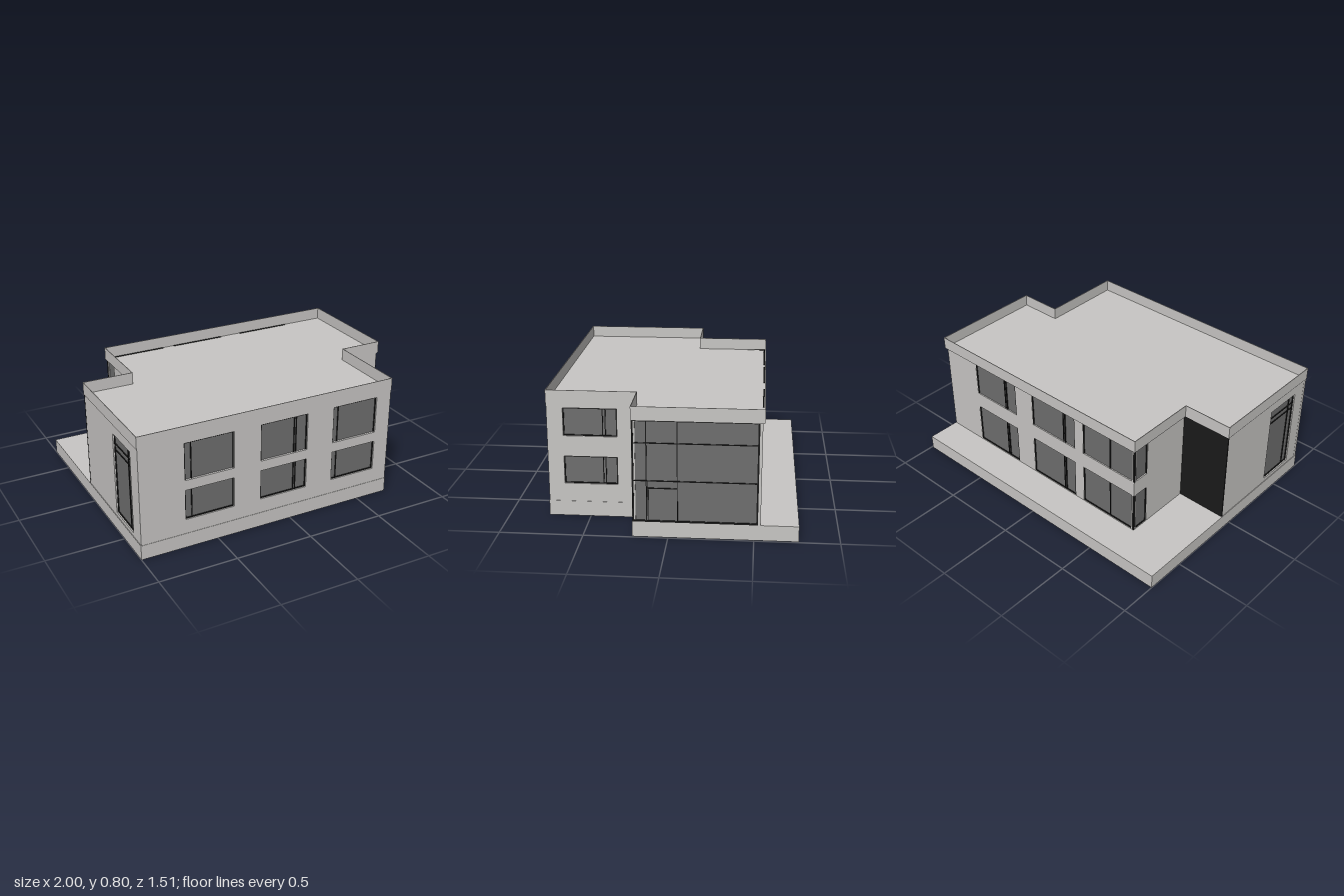
import * as THREE from 'three';

const wallMat = new THREE.MeshStandardMaterial({ color: 0xc8c6c4 });
wallMat.name = 'concrete';
const glassMat = new THREE.MeshStandardMaterial({ color: 0x6e6e6e });
glassMat.name = 'glass';
const frameMat = new THREE.MeshStandardMaterial({ color: 0x1a1a1a });
frameMat.name = 'frame';

const BASE = 0.095, EAVE = 0.72, TOP = 0.8;

// Box given by its minimum and maximum corners
function box(parent, name, mat, x0, x1, y0, y1, z0, z1) {
  const m = new THREE.Mesh(new THREE.BoxGeometry(x1 - x0, y1 - y0, z1 - z0), mat);
  m.position.set((x0 + x1) / 2, (y0 + y1) / 2, (z0 + z1) / 2);
  m.name = name;
  parent.add(m);
}

const rect = (C, u0, u1, y0, y1) =>
  new C([[u0, y0], [u1, y0], [u1, y1], [u0, y1]].map(p => new THREE.Vector2(...p)));

// Horizontal slab from a plan outline of [x, z] points, optionally hollow
function slab(parent, name, pts, y0, y1, hole) {
  const vec = list => list.map(([x, z]) => new THREE.Vector2(x, -z));
  const shape = new THREE.Shape(vec(pts));
  if (hole) shape.holes.push(new THREE.Path(vec(hole)));
  const geo = new THREE.ExtrudeGeometry(shape, { depth: y1 - y0, bevelEnabled: false });
  geo.rotateX(-Math.PI / 2);
  const m = new THREE.Mesh(geo, wallMat);
  m.position.y = y0;
  m.name = name;
  parent.add(m);
}

// Plan of the upper storeys, moved inwards by d
const plan = d => [
  [-1 + d, 0.755 - d], [0.715 - d, 0.755 - d], [0.715 - d, 0.21 - d], [1 - d, 0.21 - d],
  [1 - d, -0.55 + d], [-0.675 + d, -0.55 + d], [-0.675 + d, -0.08 + d], [-1 + d, -0.08 + d],
];

// Glazing: u0..u1 wide, one or two spans high, with posts [u] and rails [y, u0, u1]
function glazing(parent, w, front) {
  const g = new THREE.Group();
  g.name = 'window';
  parent.add(g);
  const t = w.t ?? 0.006, back = front - 0.012;
  w.spans.forEach(([y0, y1], i) => {
    box(g, 'glass', glassMat, w.u0, w.u1, y0, y1, back, front - 0.006);
    box(g, 'frameSide', frameMat, w.u0, w.u0 + t, y0, y1, back, front);
    box(g, 'frameSide', frameMat, w.u1 - t, w.u1, y0, y1, back, front);
    for (const u of w.posts ?? []) {
      box(g, 'mullion', frameMat, u - 0.0025, u + 0.0025, y0, y1, back, front);
    }
    if (i === 0 || w.closed) box(g, 'frameSill', frameMat, w.u0, w.u1, y0, y0 + t, back, front);
    if (i === w.spans.length - 1 || w.closed) {
      box(g, 'frameHead', frameMat, w.u0, w.u1, y1 - t, y1, back, front);
    }
  });
  for (const [y, a, b] of w.rails ?? []) {
    box(g, 'rail', frameMat, a, b, y - 0.0025, y + 0.0025, back, front);
  }
}

// Wall facing local +z at distance d, turned by angle, with window openings
function facade(parent, name, angle, d, u0, u1, windows, recess = 0.008) {
  const g = new THREE.Group();
  g.name = name;
  g.rotation.y = angle;
  parent.add(g);
  const shape = rect(THREE.Shape, u0, u1, BASE, EAVE);
  for (const w of windows) {
    for (const [y0, y1] of w.spans) shape.holes.push(rect(THREE.Path, w.u0, w.u1, y0, y1));
  }
  const wall = new THREE.Mesh(
    new THREE.ExtrudeGeometry(shape, { depth: 0.02, bevelEnabled: false }), wallMat);
  wall.position.z = d - 0.02;
  wall.name = name + 'Panel';
  g.add(wall);
  windows.forEach(w => glazing(g, w, d - recess));
}

export function createModel() {
  const model = new THREE.Group();
  model.name = 'building';

  // Plinth and terrace
  slab(model, 'plinth', [[-1, 0.755], [0.715, 0.755], [0.715, 0.21], [0.99, 0.21],
    [0.99, -0.76], [-1, -0.76]], 0, BASE);

  // Roof and thin parapet
  slab(model, 'roof', plan(0.003), EAVE - 0.005, EAVE + 0.003);
  slab(model, 'parapet', plan(0), EAVE, TOP, plan(0.004));

  // Front wall
  const frontSpans = [[0.19, 0.385], [0.45, 0.69]];
  facade(model, 'frontWall', 0, 0.753, -0.997, 0.713, [
    { u0: -0.71, u1: -0.39, spans: frontSpans, posts: [-0.665] },
    { u0: -0.21, u1: 0.11, spans: frontSpans, posts: [0.022, 0.036] },
    { u0: 0.295, u1: 0.61, spans: frontSpans, posts: [0.332] },
  ]);

  // Left wing wall and the plain return beside the glass front
  facade(model, 'wingWall', Math.PI / 2, 0.713, -0.753, -0.2, [
    { u0: -0.655, u1: -0.33, spans: [[0.21, 0.385], [0.515, 0.69]],
      posts: [-0.417, -0.401], closed: true },
  ]);
  facade(model, 'returnWall', 0, 0.208, 0.7, 0.988, []);

  // Full-height glass front on the left side
  const glassFront = new THREE.Group();
  glassFront.name = 'glassFront';
  glassFront.rotation.y = Math.PI / 2;
  model.add(glassFront);
  glazing(glassFront, {
    u0: -0.207, u1: 0.522, t: 0.01, spans: [[BASE, EAVE]], posts: [-0.124, 0.055],
    rails: [[0.58, -0.2, 0.52], [0.35, -0.2, 0.52], [0.305, -0.124, 0.055]],
  }, 0.99);
  box(glassFront, 'doorPost', frameMat, -0.117, -0.113, BASE, 0.35, 0.98, 0.99);

  // Back wall, its last window turning the corner
  const backSpans = [[0.099, 0.37], [0.48, 0.717]];
  facade(model, 'backWall', Math.PI, 0.538, -0.988, 0.665, [
    { u0: -0.71, u1: -0.34, spans: backSpans, posts: [-0.445, -0.43] },
    { u0: -0.19, u1: 0.18, spans: backSpans, posts: [0.08, 0.095] },
    { u0: 0.25, u1: 0.66, spans: backSpans, posts: [0.47] },
  ], 0.002);
  facade(model, 'recessWall', -Math.PI / 2, 0.665, -0.538, -0.075, [
    { u0: -0.533, u1: -0.42, spans: backSpans },
  ], 0.002);
  for (const [y0, y1] of backSpans) {
    box(model, 'cornerPost', frameMat, -0.667, -0.655, y0, y1, -0.54, -0.528);
  }

  // Window heads showing through the roof
  for (const [a, b] of [[-0.66, -0.25], [-0.18, 0.19], [0.34, 0.71]]) {
    box(model, 'roofStrip', frameMat, a, b, EAVE, EAVE + 0.006, -0.544, -0.535);
  }
  box(model, 'roofStrip', frameMat, -0.665, -0.656, EAVE, EAVE + 0.006, -0.544, -0.42);

  // Dark entrance panel in the recess
  box(model, 'entrancePanel', frameMat, -0.997, -0.665, BASE, EAVE, -0.078, -0.07);

  // Right wall with one tall window
  facade(model, 'rightWall', -Math.PI / 2, 0.996, -0.07, 0.753, [
    { u0: 0.38, u1: 0.64, spans: [[0.12, 0.655]], posts: [0.59],
      rails: [[0.59, 0.38, 0.64], [0.55, 0.38, 0.64]] },
  ]);

  return model;
}
